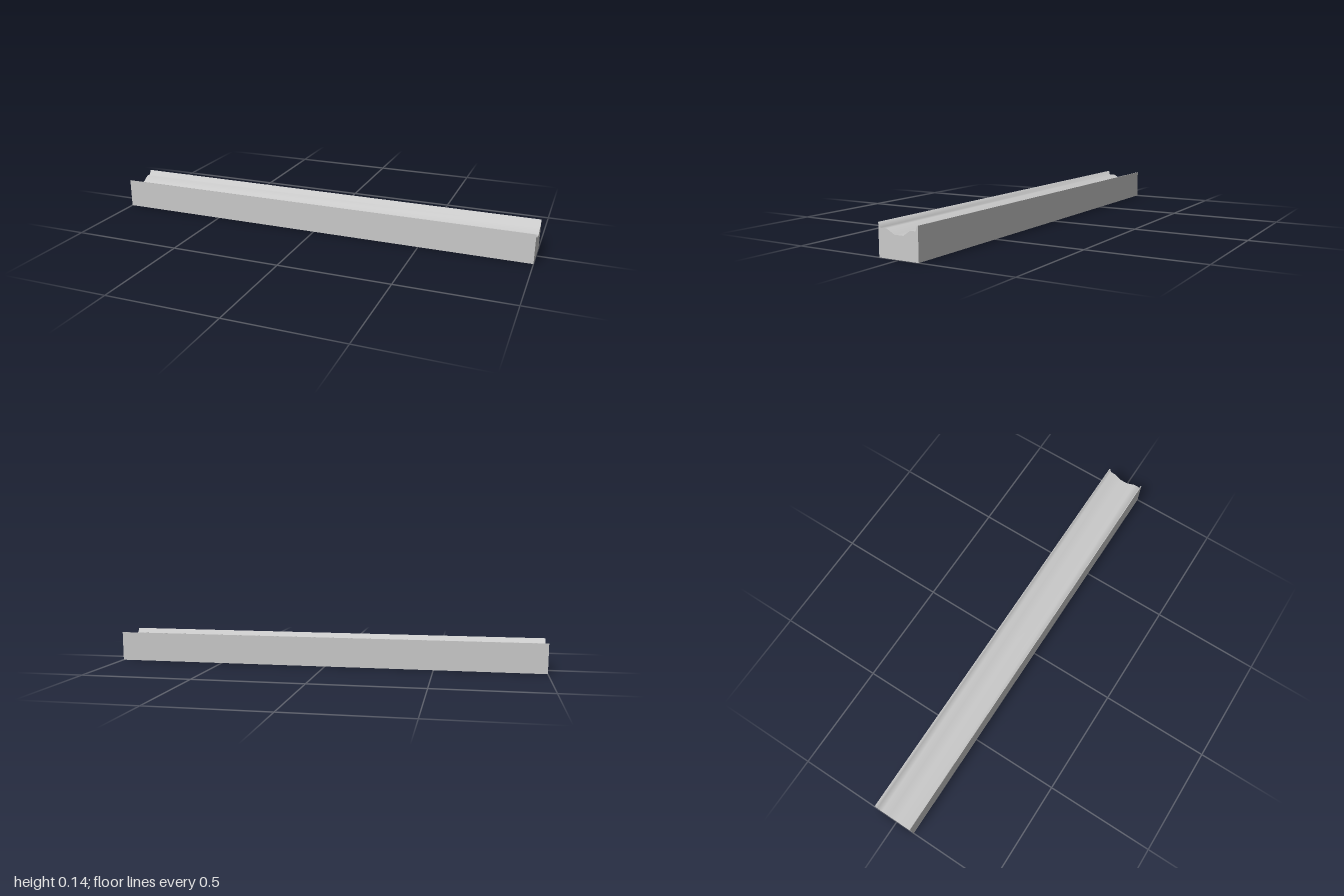
import * as THREE from 'three';
import { toCreasedNormals } from 'three/addons/utils/BufferGeometryUtils.js';

const LENGTH = 2;

// Cross-section as [z, y], running from the bottom front edge round the channelled top
const PROFILE = [
  [0.0925, 0], [-0.0925, 0],
  // back lip
  [-0.0925, 0.1355], [-0.0885, 0.1355], [-0.0815, 0.114],
  // shelf, sloped sides and floor of the channel
  [-0.057, 0.114], [-0.024, 0.0925], [0.017, 0.0925], [0.054, 0.1125],
  // front lip
  [0.085, 0.1125], [0.09, 0.1335], [0.0925, 0.1335],
];

export function createModel() {
  const group = new THREE.Group();
  group.name = 'channelBeam';

  // Extrude the section along x
  const shape = new THREE.Shape(PROFILE.map(([z, y]) => new THREE.Vector2(-z, y)));
  const extruded = new THREE.ExtrudeGeometry(shape, { depth: LENGTH, bevelEnabled: false });
  extruded.translate(0, 0, -LENGTH / 2).rotateY(Math.PI / 2);

  // Smooth shading across the channel, sharp outer corners and ends
  const geometry = toCreasedNormals(extruded, THREE.MathUtils.degToRad(80));
  const beam = new THREE.Mesh(geometry, new THREE.MeshStandardMaterial({ color: 0xcccccc }));
  beam.name = 'beam';
  group.add(beam);

  return group;
}
